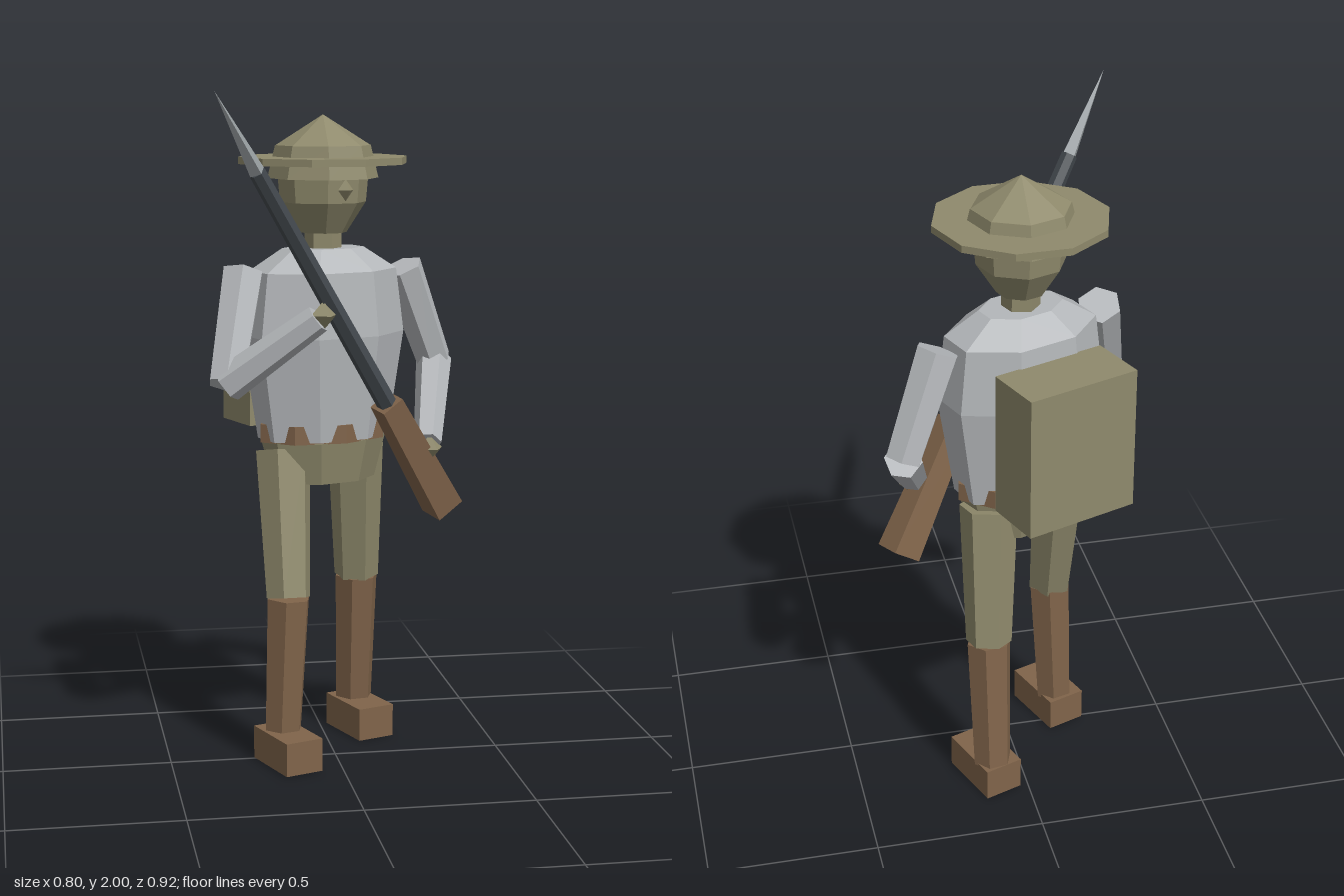
import * as THREE from 'three';

const YAW = THREE.MathUtils.degToRad(20);

export function createModel() {
  const model = new THREE.Group();
  model.name = 'marchingSoldier';

  const mat = (name, color) => {
    const m = new THREE.MeshStandardMaterial({ color, flatShading: true });
    m.name = name;
    return m;
  };
  const olive = mat('olive', 0x8f8a6c);
  const brown = mat('leatherBrown', 0x80644a);
  const shirt = mat('shirtGrey', 0xb4b7ba);
  const iron = mat('darkIron', 0x444a4f);
  const steel = mat('bladeSteel', 0x9ba1a4);

  const add = (parent, name, geo, material, pos = [0, 0, 0]) => {
    const m = new THREE.Mesh(geo, material);
    m.name = name;
    m.position.set(...pos);
    parent.add(m);
    return m;
  };

  // Tapered prism running from point a to point b
  const limb = (name, a, b, ra, rb, sides, material, turn = YAW) => {
    const from = new THREE.Vector3(...a), to = new THREE.Vector3(...b);
    const dir = to.clone().sub(from);
    const geo = new THREE.CylinderGeometry(rb, ra, dir.length(), sides);
    geo.rotateY(turn);
    const m = add(model, name, geo, material);
    m.position.copy(from).add(to).multiplyScalar(0.5);
    m.quaternion.setFromUnitVectors(new THREE.Vector3(0, 1, 0), dir.normalize());
    return m;
  };

  // Body turned slightly to its left
  const body = new THREE.Group();
  body.name = 'body';
  body.position.set(-0.02, 0, -0.1);
  body.rotation.y = YAW;
  model.add(body);

  // Stacked tapered ring: y0..y1, radii r0..r1, depth squashed by flat
  const ring = (name, y0, y1, r0, r1, sides, material, turn = 0, flat = 1, open = false) => {
    const geo = new THREE.CylinderGeometry(r1, r0, y1 - y0, sides, 1, open);
    geo.rotateY(turn);
    geo.scale(1, 1, flat);
    return add(body, name, geo, material, [0, (y0 + y1) / 2, 0]);
  };
  const E = Math.PI / 8;

  // Torso, eight-sided and squashed front to back
  const torsoProfile = [[0, 0.97], [0.21, 0.97], [0.26, 1.28], [0.235, 1.47], [0.13, 1.535], [0, 1.535]];
  const torsoGeo = new THREE.LatheGeometry(torsoProfile.map(([r, y]) => new THREE.Vector2(r, y)), 8, E);
  torsoGeo.scale(1, 1, 0.66);
  add(body, 'torso', torsoGeo, shirt);
  ring('belt', 0.965, 1.02, 0.212, 0.212, 8, brown, 0, 0.66);
  ring('pelvis', 0.84, 0.967, 0.165, 0.2, 8, olive, E, 0.68);

  // Head
  ring('neck', 1.5, 1.6, 0.055, 0.055, 6, olive);
  const headProfile = [[0, 1.575], [0.07, 1.58], [0.128, 1.67], [0.135, 1.75], [0, 1.78]];
  add(body, 'head', new THREE.LatheGeometry(headProfile.map(([r, y]) => new THREE.Vector2(r, y)), 8, E), olive);
  const nose = new THREE.OctahedronGeometry(0.025);
  nose.scale(1, 1.3, 1);
  add(body, 'nose', nose, olive, [0, 1.71, 0.135]);

  // Hat
  ring('hatBrim', 1.782, 1.803, 0.253, 0.253, 10, olive);
  ring('hatCrown', 1.74, 1.836, 0.165, 0.142, 8, olive, E);
  ring('hatPeak', 1.835, 1.925, 0.142, 0, 8, olive, E);

  // Back pack
  add(body, 'pack', new THREE.BoxGeometry(0.35, 0.43, 0.18), olive, [0, 1.205, -0.232]);

  // Legs in mid stride
  const legs = {
    right: { hip: [-0.148, 0.935, -0.06], knee: [-0.147, 0.505, 0.035], ankle: [-0.163, 0.09, 0.027], boot: [-0.155, 0.05, 0.07] },
    left: { hip: [0.09, 0.935, -0.17], knee: [0.105, 0.505, -0.235], ankle: [0.105, 0.09, -0.28], boot: [0.115, 0.05, -0.23] },
  };
  for (const [side, l] of Object.entries(legs)) {
    limb(side + 'Thigh', l.hip, l.knee, 0.085, 0.068, 6, olive);
    limb(side + 'Gaiter', l.knee, l.ankle, 0.068, 0.058, 6, brown);
    const boot = add(model, side + 'Boot', new THREE.BoxGeometry(0.12, 0.1, 0.21), brown, l.boot);
    boot.rotation.y = YAW;
  }

  // Arms holding the rifle
  const arms = {
    right: { shoulder: [-0.27, 1.47, -0.02], elbow: [-0.338, 1.165, 0.135], wrist: [-0.085, 1.36, 0.22], hand: [-0.07, 1.37, 0.225] },
    left: { shoulder: [0.235, 1.465, -0.19], elbow: [0.352, 1.17, -0.26], wrist: [0.28, 0.955, 0], hand: [0.285, 0.94, 0.01] },
  };
  for (const [side, a] of Object.entries(arms)) {
    limb(side + 'UpperArm', a.shoulder, a.elbow, 0.065, 0.055, 6, shirt);
    limb(side + 'Forearm', a.elbow, a.wrist, 0.055, 0.042, 6, shirt);
    add(model, side + 'Hand', new THREE.OctahedronGeometry(0.042), olive, a.hand).rotation.y = YAW;
  }

  // Rifle on one straight line: blade, barrel, stock
  const tip = [-0.4, 2.0, 0.46], muzzle = [-0.275, 1.78, 0.365], breech = [0.14, 1.09, 0.075], butt = [0.342, 0.745, -0.072];
  limb('bayonet', muzzle, tip, 0.024, 0, 4, steel);
  limb('barrel', breech, muzzle, 0.03, 0.024, 6, iron);
  limb('stock', butt, breech, 0.066, 0.052, 4, brown, Math.PI / 4 + YAW);

  return model;
}
